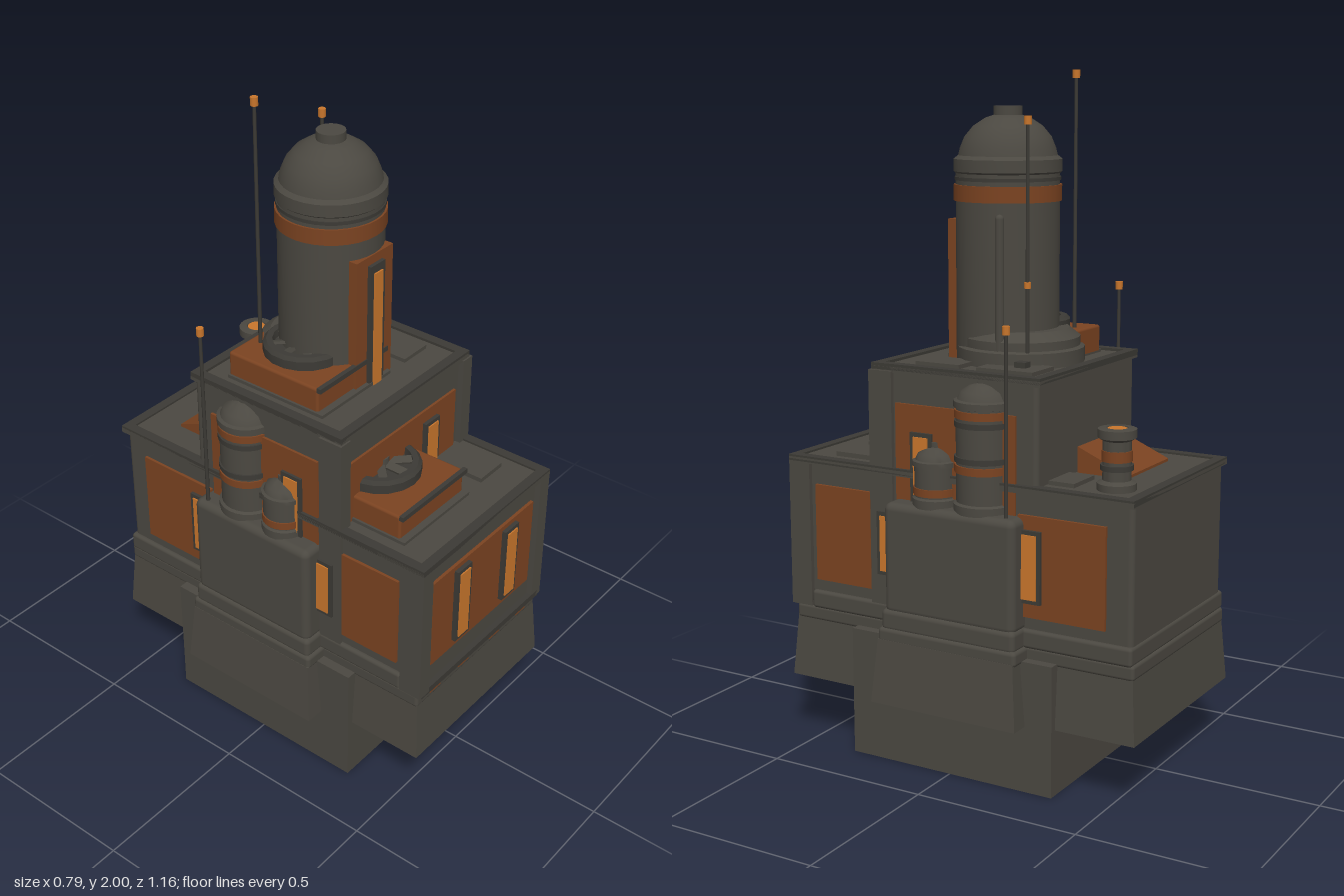
import * as THREE from 'three';
import { RoundedBoxGeometry } from 'three/addons/geometries/RoundedBoxGeometry.js';
import { toCreasedNormals } from 'three/addons/utils/BufferGeometryUtils.js';

const mat = (name, color) => {
  const m = new THREE.MeshStandardMaterial({ color });
  m.name = name;
  return m;
};

export function createModel() {
  const root = new THREE.Group();
  const stone = mat('dark stone', 0x4b4841);
  const trim = mat('dark trim', 0x3c3a35);
  const rust = mat('rust panel', 0x7b4321);
  const glow = mat('lit amber', 0xc9762c);

  const add = (name, geo, m, x = 0, y = 0, z = 0, parent = root) => {
    const mesh = new THREE.Mesh(geo, m);
    mesh.name = name;
    mesh.position.set(x, y, z);
    parent.add(mesh);
    return mesh;
  };
  // box given by its min and max on each axis
  const box = (name, m, x0, x1, y0, y1, z0, z1, round = 0) => {
    const s = [x1 - x0, y1 - y0, z1 - z0];
    const geo = round ? new RoundedBoxGeometry(...s, 3, round) : new THREE.BoxGeometry(...s);
    return add(name, geo, m, (x0 + x1) / 2, (y0 + y1) / 2, (z0 + z1) / 2);
  };
  // box whose top shrinks by a margin on every side
  const skirt = (name, x0, x1, y0, y1, z0, z1, inset) => {
    const mesh = box(name, stone, x0, x1, y0, y1, z0, z1);
    const p = mesh.geometry.attributes.position;
    for (let i = 0; i < p.count; i++) {
      if (p.getY(i) < 0) continue;
      p.setX(i, p.getX(i) - Math.sign(p.getX(i)) * inset);
      p.setZ(i, p.getZ(i) - Math.sign(p.getZ(i)) * inset);
    }
    mesh.geometry.computeVertexNormals();
  };
  const lathe = (name, m, pts, x, y, z, sides = 24, parent = root) => add(name, toCreasedNormals(
    new THREE.LatheGeometry(pts.map(p => new THREE.Vector2(...p)), sides), 0.6), m, x, y, z, parent);
  const disc = (name, m, r, y0, y1, x, z, sides = 24) =>
    add(name, new THREE.CylinderGeometry(r, r, y1 - y0, sides), m, x, (y0 + y1) / 2, z);
  // raised border round a flat roof
  const rim = (name, w, y, z0, z1, t = 0.03) => {
    for (const s of [-1, 1]) box(name, trim, s * w - (s > 0 ? t : 0), s * w + (s < 0 ? t : 0), y, y + 0.018, z0, z1);
    box(name, trim, -w + t, w - t, y, y + 0.018, z0, z0 + t);
    box(name, trim, -w + t, w - t, y, y + 0.018, z1 - t, z1);
  };
  const frontWindow = (x, y0, y1, z) => {
    box('windowFrame', trim, x - 0.034, x + 0.034, y0 - 0.012, y1 + 0.012, z - 0.01, z + 0.006);
    box('litWindow', glow, x - 0.023, x + 0.023, y0, y1, z, z + 0.01);
  };
  const sideWindow = (s, z, y0, y1, x) => {
    const span = (a, b) => s > 0 ? [a, b] : [-b, -a];
    box('windowFrame', trim, ...span(x - 0.01, x + 0.006), y0 - 0.012, y1 + 0.012, z - 0.036, z + 0.036);
    box('litWindow', glow, ...span(x, x + 0.01), y0, y1, z - 0.024, z + 0.024);
  };

  // Foundation and flared skirts
  box('foundation', stone, -0.335, 0.335, 0, 0.385, -0.335, 0.335);
  skirt('mainSkirt', -0.315, 0.315, 0.195, 0.385, -0.58, 0.572, 0.014);
  box('lowerBand', stone, -0.305, 0.305, 0.375, 0.42, -0.57, 0.56, 0.01);
  box('upperBand', stone, -0.31, 0.31, 0.415, 0.47, -0.565, 0.50, 0.01);
  for (const x of [-0.22, -0.08, 0.08, 0.22]) box('bandLight', rust, x - 0.025, x + 0.025, 0.395, 0.405, 0.555, 0.564);

  // Lower storey
  box('lowerBody', stone, -0.297, 0.297, 0.42, 0.872, -0.56, 0.555, 0.015);
  box('lowerRoof', stone, -0.312, 0.312, 0.858, 0.874, -0.567, 0.573);
  rim('lowerRoofRim', 0.312, 0.862, -0.567, 0.573);
  box('frontPanel', rust, -0.25, 0.245, 0.505, 0.797, 0.55, 0.565);
  box('frontSill', trim, -0.3, 0.3, 0.415, 0.435, 0.54, 0.573);
  for (const x of [-0.118, 0.118]) frontWindow(x, 0.545, 0.77, 0.572);

  // Upper storey, rising through the lower one
  box('upperBody', stone, -0.295, 0.295, 0.42, 1.17, -0.265, 0.265, 0.015);
  box('upperRoof', stone, -0.3, 0.3, 1.155, 1.172, -0.275, 0.278);
  rim('upperRoofRim', 0.3, 1.162, -0.275, 0.278);
  box('upperFrontPanel', rust, -0.25, 0.245, 0.874, 1.07, 0.255, 0.273);
  frontWindow(0.118, 0.885, 1.02, 0.279);

  for (const s of [-1, 1]) {
    const span = (a, b) => s > 0 ? [a, b] : [-b, -a];
    // Corner pillars
    box('lowerPillar', stone, ...span(0.265, 0.311), 0.42, 0.86, 0.5, 0.573);
    box('upperPillar', stone, ...span(0.265, 0.308), 0.42, 1.16, 0.205, 0.283);
    // Side panels and windows
    box('sidePanelFront', rust, ...span(0.29, 0.306), 0.505, 0.797, 0.285, 0.482);
    box('sidePanelRear', rust, ...span(0.29, 0.306), 0.505, 0.797, -0.482, -0.21);
    box('upperSidePanel', rust, ...span(0.285, 0.303), 0.78, 1.07, -0.2, 0.195);
    sideWindow(s, 0.22, 0.57, 0.735, 0.31);
    sideWindow(s, -0.25, 0.56, 0.745, 0.31);
    sideWindow(s, 0.105, 0.8, 0.98, 0.305);

    // Side annex
    skirt('annexSkirt', ...span(0.2, 0.393), 0.195, 0.385, -0.25, 0.232, 0.016);
    box('annexLowerBand', stone, ...span(0.2, 0.376), 0.375, 0.42, -0.24, 0.218, 0.012);
    box('annexUpperBand', stone, ...span(0.2, 0.37), 0.41, 0.475, -0.232, 0.21, 0.015);
    box('annexBody', stone, ...span(0.2, 0.364), 0.46, 0.79, -0.228, 0.203, 0.022);

    // Tall and short tanks
    const tank = (name, x, z, r, h, bands) => {
      lathe(name, stone, [[0, 0], [r * 1.1, 0], [r * 1.1, 0.025], [r, 0.03], [r, h - r * 0.85],
        [r * 1.08, h - r * 0.83], [r * 1.08, h - r * 0.6], [r * 0.95, h - r * 0.55], [r * 0.82, h - r * 0.28],
        [r * 0.5, h - r * 0.08], [r * 0.28, h], [r * 0.28, h + 0.015], [0, h + 0.015]], x, 0.785, z);
      for (const y of bands) disc('tankBand', rust, r * 1.06, y, y + 0.022, x, z);
    };
    tank('tallTank', s * 0.275, -0.085, 0.08, 0.365, [0.9, 1.055]);
    tank('shortTank', s * 0.292, 0.065, 0.062, 0.17, [0.82]);
    for (const y of [0.93, 1.03]) disc('tankRing', trim, 0.085, y, y + 0.016, s * 0.275, -0.085);
  }

  // Thin roof hatches
  box('roofHatch', stone, 0.12, 0.245, 1.17, 1.184, -0.22, -0.04);
  box('roofHatch', stone, 0.135, 0.24, 1.17, 1.184, 0.02, 0.165);
  box('roofHatch', stone, 0.135, 0.24, 0.872, 0.888, 0.285, 0.45);
  box('roofHatch', stone, 0.12, 0.24, 0.872, 0.886, -0.35, -0.27);
  box('hatchKnob', trim, 0.167, 0.197, 1.18, 1.2, -0.17, -0.135);

  // Roof vents: rust housing with a fan on top
  const vent = (y, z0, z1, fanZ) => {
    box('ventPlinth', stone, -0.245, 0.065, y, y + 0.012, z0, z1 + 0.022);
    box('ventHousing', rust, -0.238, 0.062, y, y + 0.085, z0, z1, 0.008);
    box('ventLip', trim, -0.24, 0.064, y + 0.075, y + 0.09, z1 - 0.002, z1 + 0.012);
    const fan = new THREE.Group();
    fan.name = 'ventFan';
    fan.position.set(-0.09, y + 0.084, fanZ);
    root.add(fan);
    lathe('fanRing', trim, [[0.09, 0], [0.122, 0], [0.122, 0.028], [0.112, 0.038], [0.094, 0.038], [0.09, 0.01]], 0, 0, 0, 18, fan);
    add('fanFloor', new THREE.CylinderGeometry(0.095, 0.095, 0.016, 18), trim, 0, 0.008, 0, fan);
    add('fanHub', new THREE.CylinderGeometry(0.028, 0.03, 0.05, 12), stone, 0, 0.025, 0, fan);
    for (let i = 0; i < 8; i++) {
      const blade = add('fanBlade', new THREE.BoxGeometry(0.075, 0.008, 0.025), stone, 0, 0.028, 0, fan);
      const a = i * Math.PI / 4;
      blade.position.set(Math.cos(a) * 0.06, 0.028, -Math.sin(a) * 0.06);
      blade.rotation.set(0.35, a, 0, 'YXZ');
    }
  };
  vent(0.872, 0.26, 0.435, 0.25);
  vent(1.17, -0.18, 0.145, -0.02);

  // Sloped rust hatch on the rear roof
  const wedge = new THREE.Shape([[0.27, 0.87], [0.43, 0.87], [0.43, 0.882], [0.27, 0.95]].map(p => new THREE.Vector2(...p)));
  const slope = add('rearSlopedHatch', new THREE.ExtrudeGeometry(wedge, { depth: 0.265, bevelEnabled: false }), rust, 0.07);
  slope.rotation.y = Math.PI / 2;
  slope.position.x = -0.195;
  slope.scale.x = 1;

  // Rear chimney
  lathe('chimney', stone, [[0, 0], [0.055, 0], [0.055, 0.022], [0.04, 0.03], [0.04, 0.14], [0.054, 0.148],
    [0.054, 0.172], [0.03, 0.175], [0.027, 0.165], [0, 0.165]], 0.19, 0.872, -0.455);
  disc('chimneyBand', rust, 0.043, 0.955, 0.985, 0.19, -0.455);
  disc('chimneyRing', trim, 0.046, 0.93, 0.945, 0.19, -0.455);
  disc('chimneyGlow', glow, 0.027, 1.036, 1.045, 0.19, -0.455);

  // Tower with stepped foot, collars and dome
  lathe('towerFoot', stone, [[0.185, 0], [0.185, 0.045], [0.172, 0.05], [0.172, 0.075], [0.14, 0.1], [0, 0.1]], 0, 1.17, -0.045);
  lathe('tower', stone, [[0.15, 0], [0.15, 0.54], [0.156, 0.545], [0.156, 0.58], [0.143, 0.59], [0.138, 0.61],
    [0.125, 0.642], [0.1, 0.672], [0.065, 0.695], [0.04, 0.703], [0, 0.706]], 0, 1.17, 0, 32);
  disc('towerBand', rust, 0.156, 1.632, 1.678, 0, 0, 32);
  disc('towerCollar', trim, 0.153, 1.69, 1.7, 0, 0, 32);
  disc('domeCap', stone, 0.041, 1.86, 1.898, 0, 0, 20);
  box('towerPanel', rust, -0.08, 0.08, 1.172, 1.578, 0.1, 0.154);
  box('towerWindowFrame', trim, -0.032, 0.032, 1.172, 1.552, 0.15, 0.165);
  box('towerWindow', glow, -0.018, 0.018, 1.172, 1.528, 0.16, 0.17);
  const pipe = add('towerPipe', new THREE.CapsuleGeometry(0.013, 0.4, 4, 10), stone, 0.158, 1.39, -0.065);
  pipe.castShadow = false;

  // Antennas with amber tips
  for (const [x, y0, y1, z] of [[-0.143, 1.17, 1.995, -0.143], [0.14, 1.17, 1.87, -0.145],
    [-0.34, 0.78, 1.37, -0.19], [0.335, 0.78, 1.318, -0.19]]) {
    add('antenna', new THREE.CylinderGeometry(0.005, 0.006, y1 - y0, 8), trim, x, (y0 + y1) / 2, z);
    disc('antennaTip', glow, 0.011, y1 - 0.02, y1 + 0.004, x, z, 10);
  }
  disc('antennaBead', glow, 0.01, 1.4, 1.418, 0.14, -0.145, 10);

  return root;
}
